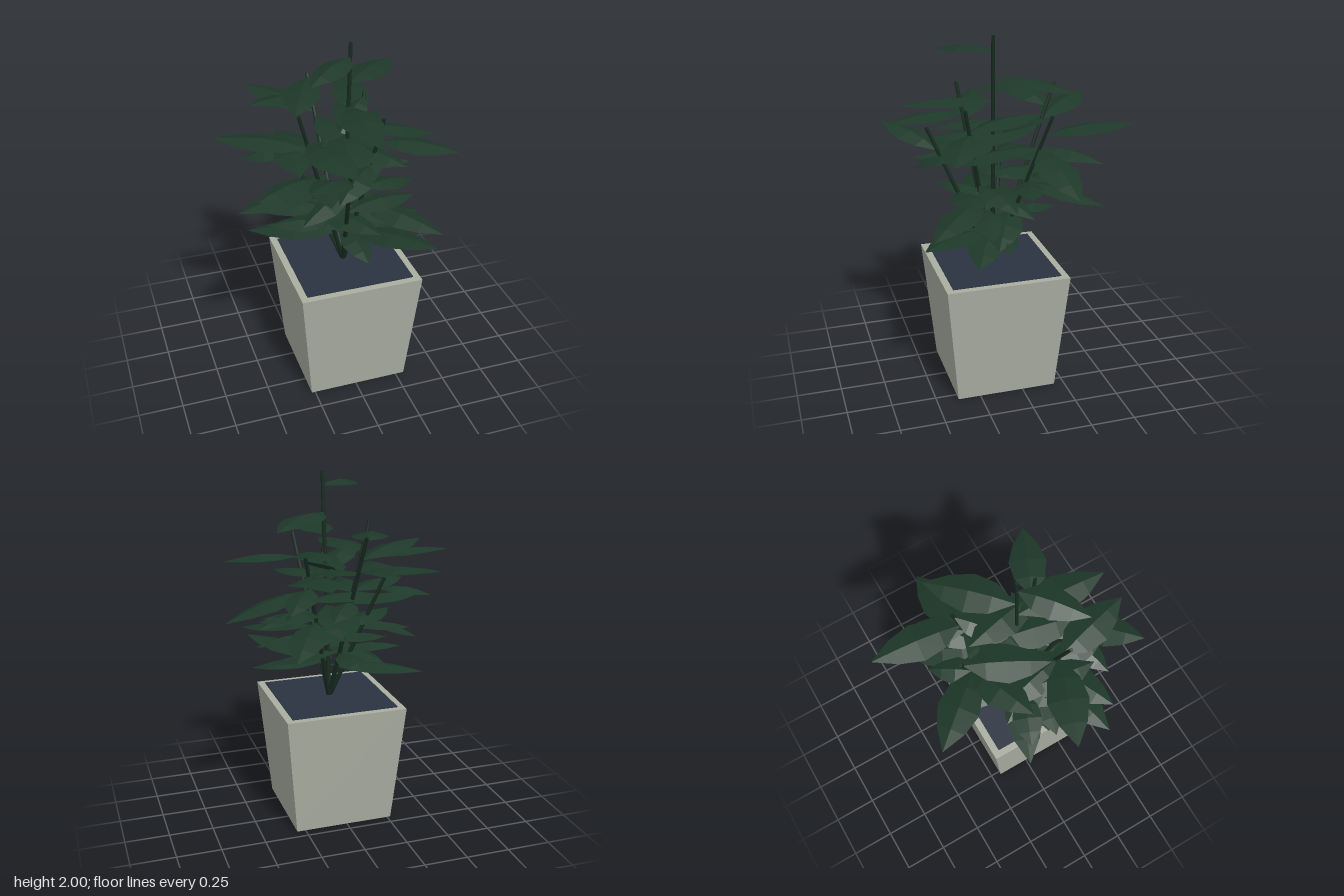
import * as THREE from 'three';

const mat = (name, color, extra = {}) => {
  const m = new THREE.MeshStandardMaterial({ color, ...extra });
  m.name = name;
  return m;
};

// Point where all stems leave the soil
const ROOT = new THREE.Vector3(0.015, 0.69, 0.093);

// Each stem: its top, and its outer leaves as [tip x, tip y, tip z, droop from base to tip]
const STEMS = [
  { top: [0.05, 2.0, 0.093], leaves: [
    [-0.24, 1.89, 0.34, 0.03], [0.4, 1.745, -0.25, 0.03], [0.02, 1.65, 0.6, 0],
    [0.43, 0.85, 0.28, 0.07], [-0.49, 0.86, -0.12, 0.03], [0.015, 1.2, -0.36, 0.05],
    [0.05, 0.86, 0.42, 0.05]] },
  { top: [-0.27, 1.69, 0.22], leaves: [
    [-0.68, 1.54, 0.02, -0.05], [-0.1, 1.52, 0.65, 0], [-0.53, 1.31, 0.35, -0.02],
    [-0.62, 1.22, 0.28, 0], [-0.47, 1.08, 0.05, 0.02]] },
  { top: [-0.07, 1.7, -0.29], leaves: [
    [-0.37, 1.56, -0.57, -0.06], [-0.45, 1.64, -0.1, -0.07], [-0.26, 1.64, 0.12, 0.04],
    [-0.05, 0.97, -0.3, 0.02]] },
  { top: [0.17, 1.64, 0.28], leaves: [
    [0.54, 1.46, 0.43, 0.04], [0.39, 0.97, 0.56, -0.06], [0.43, 1.03, 0.52, 0.07],
    [0.42, 1.0, 0.2, 0.05]] },
  { top: [0.23, 1.59, -0.18], leaves: [
    [0.24, 1.52, -0.65, -0.04], [0.67, 1.27, -0.18, 0.13], [0.38, 1.35, -0.42, 0.06],
    [0.355, 1.1, -0.44, 0.1], [0.45, 1.21, 0, 0], [0, 1.45, 0.05, 0.12]] },
  { top: [-0.06, 1.5, 0.44], leaves: [[-0.345, 1.48, 0.64, -0.11]] },
  { top: [-0.28, 1.45, -0.05], leaves: [[-0.51, 1.32, -0.14, 0.03]] },
];
const INNER_LEAVES = 4; // leaves spiralling up the lower part of each stem

// Pointed leaf with straight edges and a raised midrib
function leafGeometry(base, tip) {
  const along = tip.clone().sub(base);
  const side = new THREE.Vector3(0, 1, 0).cross(along).normalize();
  const up = along.clone().cross(side).normalize();
  const scale = Math.min(1.1, Math.max(0.8, along.length() / 0.42));
  const steps = 4;
  const pos = [], index = [];
  for (let i = 0; i <= steps; i++) {
    const t = i / steps;
    const bulge = Math.sin(Math.PI * t ** 0.9);
    for (const s of [-1, 0, 1]) {
      const p = base.clone().addScaledVector(along, t)
        .addScaledVector(side, s * 0.1 * scale * bulge)
        .addScaledVector(up, (s ? 0.003 : 0.03) * bulge);
      pos.push(p.x, p.y, p.z);
    }
    if (i === 0) continue;
    for (let k = 0; k < 2; k++) {
      const a = (i - 1) * 3 + k, b = a + 3;
      index.push(a, b, a + 1, a + 1, b, b + 1);
    }
  }
  const g = new THREE.BufferGeometry();
  g.setAttribute('position', new THREE.Float32BufferAttribute(pos, 3));
  g.setIndex(index);
  const flat = g.toNonIndexed();
  flat.computeVertexNormals();
  return flat;
}

// Four-sided frustum with its sides facing the axes
function frustum(topHalf, bottomHalf, height) {
  const g = new THREE.CylinderGeometry(topHalf * Math.SQRT2, bottomHalf * Math.SQRT2, height, 4);
  return g.rotateY(Math.PI / 4);
}

export function createModel() {
  const model = new THREE.Group();
  model.name = 'pottedPlant';
  const potMat = mat('potGrey', 0xaaaea1, { flatShading: true });
  const soilMat = mat('soil', 0x2a3342, { flatShading: true });
  const stemMat = mat('stemGreen', 0x162b20);
  const leafMat = mat('leafGreen', 0x1d3829, { flatShading: true, side: THREE.DoubleSide });

  const add = (parent, name, geometry, material, x = 0, y = 0, z = 0) => {
    const mesh = new THREE.Mesh(geometry, material);
    mesh.name = name;
    mesh.position.set(x, y, z);
    parent.add(mesh);
    return mesh;
  };

  // Tapered square pot with soil inset in its rim
  add(model, 'pot', frustum(0.347, 0.285, 0.7), potMat, ROOT.x, 0.35, ROOT.z);
  add(model, 'soil', new THREE.BoxGeometry(0.615, 0.008, 0.615), soilMat, ROOT.x, 0.701, ROOT.z);

  // Stems fan out from the root, each carrying its leaves
  STEMS.forEach(({ top, leaves }, i) => {
    const branch = new THREE.Group();
    branch.name = `branch${i + 1}`;
    model.add(branch);
    const dir = new THREE.Vector3(...top).sub(ROOT);
    const stem = add(branch, 'stem', new THREE.CylinderGeometry(0.01, 0.013, dir.length(), 6), stemMat);
    stem.position.copy(ROOT).addScaledVector(dir, 0.5);
    stem.quaternion.setFromUnitVectors(new THREE.Vector3(0, 1, 0), dir.clone().normalize());
    const onStem = (y) => ROOT.clone().addScaledVector(dir, Math.min(0.98, (y - ROOT.y) / dir.y));

    for (const [x, y, z, droop] of leaves) {
      add(branch, 'outerLeaf', leafGeometry(onStem(y + droop), new THREE.Vector3(x, y, z)), leafMat);
    }

    // Inner leaves turn by the golden angle, leaning back to the middle of the plant
    for (let k = 0; k < INNER_LEAVES; k++) {
      const angle = (i * INNER_LEAVES + k) * 2.4;
      const base = onStem(0.93 + k * 0.16 + (i % 4) * 0.035);
      const droop = 0.03 + 0.07 * Math.sin(angle * 1.7);
      const tip = new THREE.Vector3(
        base.x + 0.38 * Math.cos(angle) - 0.4 * (base.x - ROOT.x),
        base.y - droop,
        base.z + 0.38 * Math.sin(angle) - 0.4 * (base.z - ROOT.z));
      add(branch, 'innerLeaf', leafGeometry(base, tip), leafMat);
    }
  });
  return model;
}
